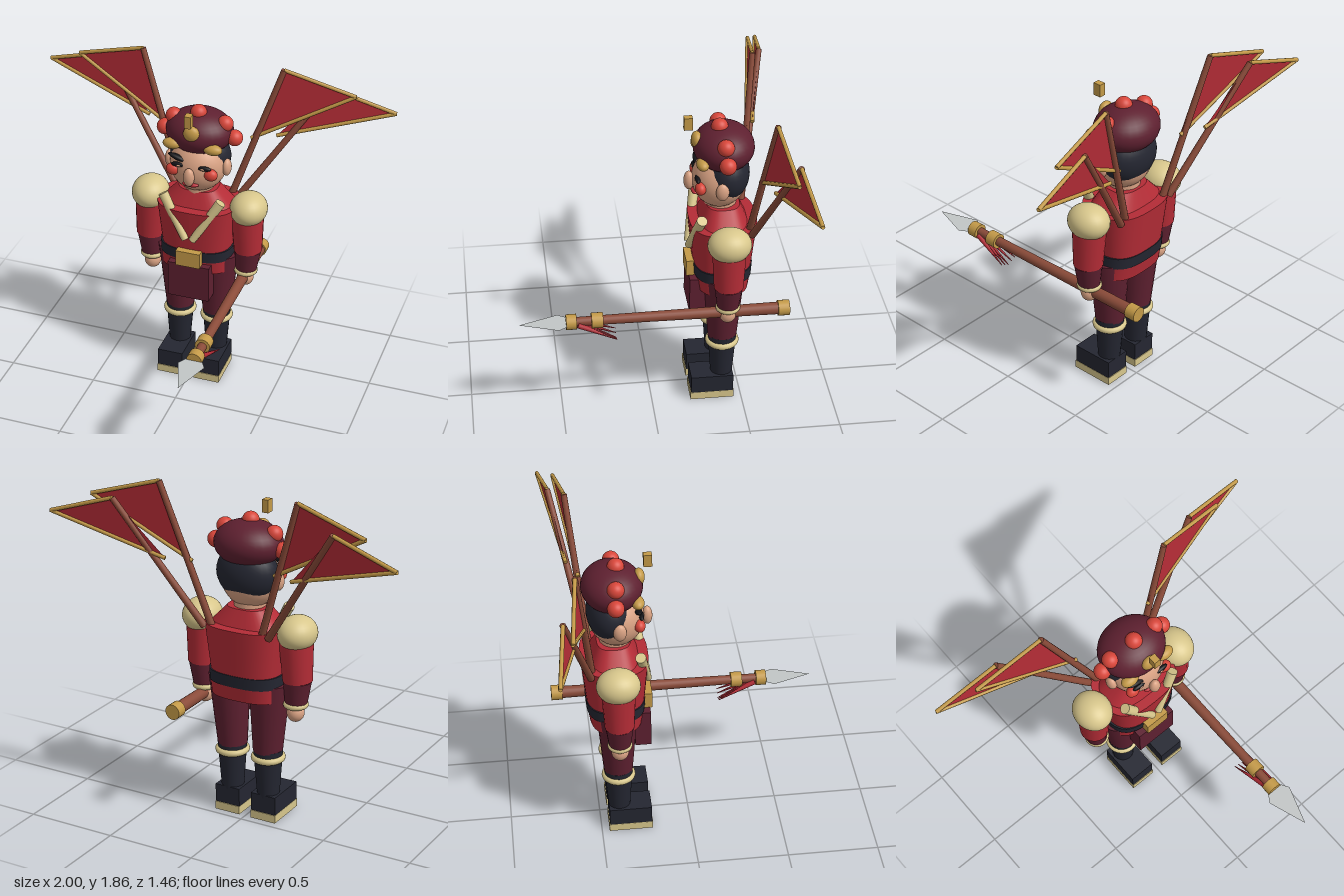
import * as THREE from 'three';

const mat = (name, color, side = THREE.FrontSide) => {
  const m = new THREE.MeshStandardMaterial({ color, side });
  m.name = name;
  return m;
};

export function createModel() {
  const model = new THREE.Group();
  model.name = 'flagSoldier';
  const red = mat('coat red', 0xb42c36, THREE.DoubleSide);
  const maroon = mat('dark maroon', 0x5e2030);
  const navy = mat('navy black', 0x242631);
  const skin = mat('skin', 0xd9a283);
  const cream = mat('cream', 0xd8c78c);
  const gold = mat('gold', 0xc49a48);
  const wood = mat('wood', 0x8a4b39);
  const bright = mat('bright red', 0xd8463a);
  const black = mat('black', 0x121216);
  const silver = mat('silver', 0xc2c6c6, THREE.DoubleSide);
  const Z = -0.395; // depth of the body axis

  const add = (name, geo, material, pos = [0, 0, 0]) => {
    const m = new THREE.Mesh(geo, material);
    m.name = name;
    m.position.set(...pos);
    model.add(m);
    return m;
  };
  const ball = (name, material, pos, r) => {
    const m = add(name, new THREE.SphereGeometry(1, 28, 20), material, pos);
    m.scale.set(...(Array.isArray(r) ? r : [r, r, r]));
    return m;
  };
  const box = (name, material, pos, size) => add(name, new THREE.BoxGeometry(...size), material, pos);
  // Round bar from a (radius ra) to b (radius rb)
  const rod = (name, material, a, b, ra, rb = ra, sides = 20) => {
    const va = new THREE.Vector3(...a), vb = new THREE.Vector3(...b);
    const dir = vb.clone().sub(va);
    const m = add(name, new THREE.CylinderGeometry(rb, ra, dir.length(), sides), material,
      va.clone().add(vb).multiplyScalar(0.5).toArray());
    m.quaternion.setFromUnitVectors(new THREE.Vector3(0, 1, 0), dir.normalize());
    return m;
  };
  const ring = (name, material, pos, r, tube) =>
    add(name, new THREE.TorusGeometry(r, tube, 12, 32).rotateX(Math.PI / 2), material, pos);
  // Squarish oval body section between two heights
  const section = (name, material, y0, y1, [x0, z0], [x1, z1]) => {
    const g = new THREE.CylinderGeometry(1, 1, 1, 40);
    const p = g.attributes.position;
    const soft = (v) => Math.sign(v) * Math.pow(Math.abs(v), 0.72);
    for (let i = 0; i < p.count; i++) {
      const t = p.getY(i) + 0.5;
      p.setXYZ(i, soft(p.getX(i)) * (x0 + (x1 - x0) * t), y0 + (y1 - y0) * t,
        soft(p.getZ(i)) * (z0 + (z1 - z0) * t));
    }
    g.computeVertexNormals();
    return add(name, g, material, [0, 0, Z]);
  };

  // Coat
  section('coatSkirt', red, 0.7, 0.79, [0.2, 0.142], [0.203, 0.155]);
  section('belt', navy, 0.78, 0.845, [0.206, 0.158], [0.208, 0.162]);
  section('coat', red, 0.84, 1.1, [0.198, 0.158], [0.226, 0.182]);
  section('coatShoulders', red, 1.095, 1.19, [0.2, 0.13], [0.11, 0.09]);
  box('buckle', gold, [0, 0.81, -0.221], [0.14, 0.092, 0.048]);
  box('apron', maroon, [0, 0.658, -0.255], [0.24, 0.216, 0.088]);

  for (const s of [-1, 1]) {
    // Lapel
    rod('lapel', cream, [s * 0.165, 1.17, -0.265], [s * 0.02, 0.93, -0.215], 0.029, 0.02);

    // Leg and boot
    rod('trouserLeg', maroon, [s * 0.108, 0.39, Z], [s * 0.122, 0.79, Z], 0.08, 0.112);
    rod('bootShaft', navy, [s * 0.11, 0.13, Z], [s * 0.11, 0.4, Z], 0.06, 0.08);
    ring('bootCuff', cream, [s * 0.11, 0.352, Z], 0.074, 0.019);
    box('bootFoot', navy, [s * 0.11, 0.096, -0.337], [0.147, 0.102, 0.235]);
    box('bootSole', cream, [s * 0.11, 0.0225, -0.337], [0.15, 0.045, 0.243]);

    // Arm
    ball('shoulderPad', cream, [s * 0.285, 1.088, Z], [0.104, 0.093, 0.117]);
    rod('upperSleeve', red, [s * 0.287, 0.825, Z], [s * 0.278, 1.08, Z], 0.079, 0.093);
    rod('lowerSleeve', maroon, [s * 0.278, 0.69, Z], [s * 0.286, 0.827, Z], 0.058, 0.076);
    ring('sleeveCuff', cream, [s * 0.277, 0.69, Z], 0.05, 0.017);
    ball('hand', skin, [s * 0.275, 0.642, Z], [0.047, 0.05, 0.047]);

    // Ear, cheek and eye
    ball('ear', skin, [s * 0.163, 1.338, -0.37], [0.026, 0.05, 0.035]);
    ball('cheek', bright, [s * 0.108, 1.335, -0.262], [0.038, 0.034, 0.03]);
    ball('eye', black, [s * 0.072, 1.374, -0.25], [0.042, 0.014, 0.014]);
    ball('eyeGlint', skin, [s * 0.068, 1.373, -0.238], [0.012, 0.006, 0.006]);

    // Hat trimmings on each side
    ball('sidePompom', bright, [s * 0.198, 1.514, -0.39], 0.045);
    ball('upperPompom', bright, [s * 0.145, 1.593, -0.385], 0.045);
    ball('sideHatJewel', gold, [s * 0.115, 1.487, -0.27], [0.052, 0.03, 0.034]);

    // Two back flags: pole foot, pole top, flag tip, lower flag corner
    const flags = [
      [[0.14, 1.06, -0.52], [0.4, 1.85, -0.602], [0.79, 1.738, -0.642], [0.24, 1.435, -0.555]],
      [[0.19, 1.08, -0.53], [0.636, 1.745, -0.68], [0.997, 1.635, -0.72], [0.368, 1.445, -0.61]],
    ];
    for (const f of flags) {
      const [foot, top, tip, low] = f.map(([x, y, z]) => [s * x, y, z]);
      const cloth = new THREE.BufferGeometry();
      cloth.setAttribute('position', new THREE.Float32BufferAttribute(
        s > 0 ? [...top, ...low, ...tip] : [...top, ...tip, ...low], 3));
      cloth.computeVertexNormals();
      add('flagCloth', cloth, red);
      rod('flagPole', wood, foot, top, 0.02, 0.016, 14);
      rod('flagUpperTrim', gold, top, tip, 0.011, 0.011, 8);
      rod('flagLowerTrim', gold, low, tip, 0.011, 0.011, 8);
    }
  }

  // Head
  rod('neck', skin, [0, 1.14, -0.385], [0, 1.24, -0.385], 0.085);
  ball('head', skin, [0, 1.335, -0.375], [0.157, 0.156, 0.147]);
  ball('hair', navy, [0, 1.375, -0.41], [0.171, 0.152, 0.125]);
  ball('nose', skin, [0, 1.327, -0.213], [0.031, 0.054, 0.028]);
  ball('mouth', bright, [0, 1.268, -0.242], [0.047, 0.013, 0.018]).material = red;
  ball('brow', black, [-0.078, 1.408, -0.265], [0.06, 0.014, 0.02]).rotation.z = -0.3;

  // Hat
  ball('hat', maroon, [0, 1.527, -0.395], [0.187, 0.122, 0.163]);
  ball('topPompom', bright, [0, 1.642, -0.372], 0.045);
  ball('frontHatJewel', gold, [0, 1.572, -0.252], [0.045, 0.045, 0.03]);
  box('hatPlumeBlock', gold, [0, 1.673, -0.206], [0.036, 0.07, 0.045]);

  // Spear held in the left hand
  const X = 0.27, Y = 0.652;
  rod('spearShaft', wood, [X, Y, -0.72], [X, Y, 0.46], 0.034, 0.024);
  for (const [a, b] of [[-0.73, -0.668], [0.276, 0.338], [0.418, 0.474]])
    rod('spearRing', gold, [X, Y, a], [X, Y, b], 0.042);
  const blade = new THREE.Shape([[0, 0.725], [-0.072, 0.515], [-0.045, 0.47], [0.045, 0.47], [0.072, 0.515]]
    .map(([x, z]) => new THREE.Vector2(x, z)));
  add('spearBlade', new THREE.ShapeGeometry(blade).rotateX(Math.PI / 2), silver, [X, Y, 0]);
  for (let i = -2; i <= 2; i++)
    rod('spearTassel', red, [X + i * 0.011, Y - 0.01, 0.41],
      [X + i * 0.026, 0.53 + Math.abs(i) * 0.012, 0.205], 0.016, 0.002, 8);

  return model;
}
